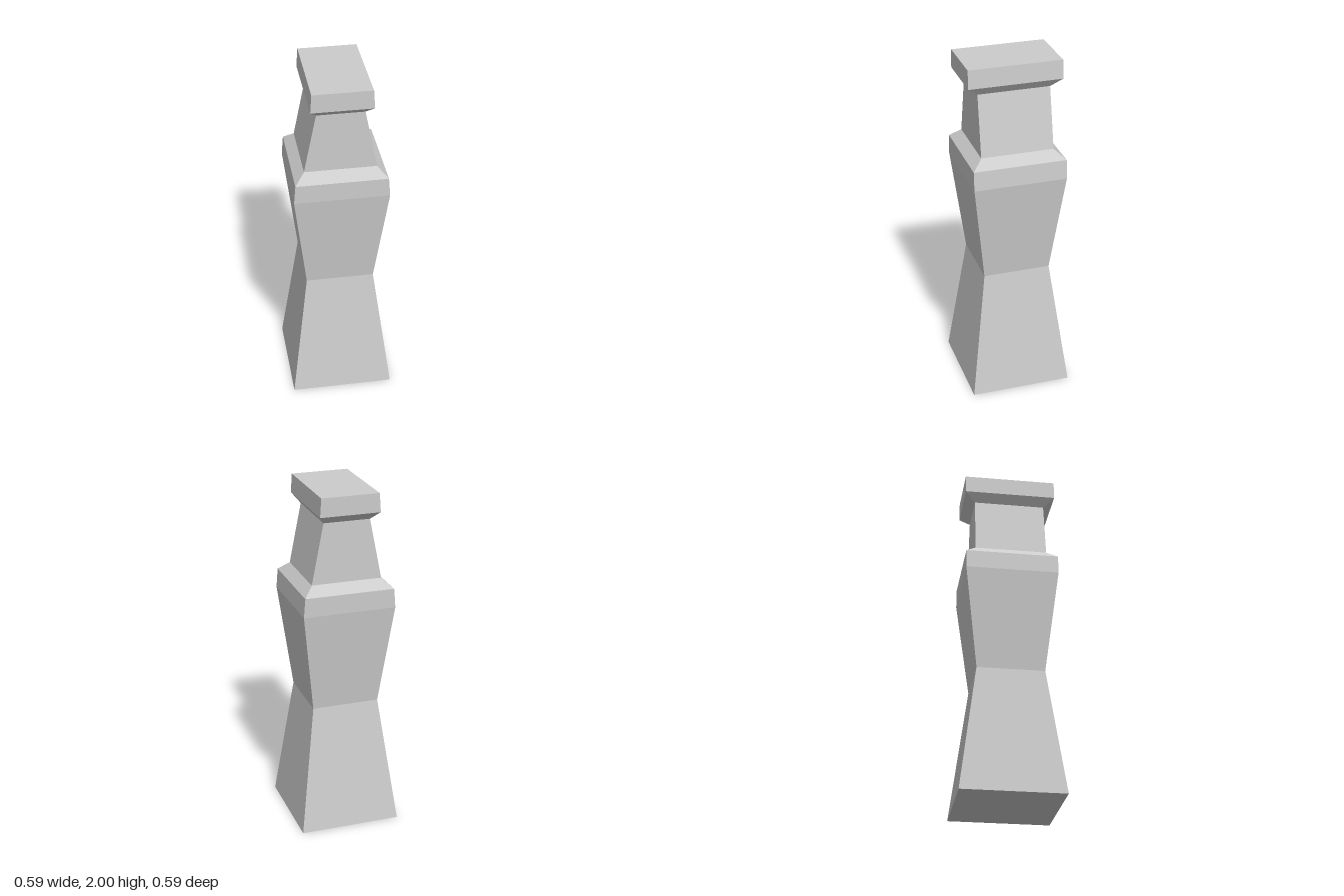
import * as THREE from 'three';

const material = new THREE.MeshStandardMaterial({ color: 0xcccccc, flatShading: true });

// Stack of rectangular sections [y, half width, half depth], closed at both ends
function taperedBlock(name, sections) {
  const steps = sections.length - 1;
  const box = new THREE.BoxGeometry(2, steps, 2, 1, steps, 1);
  const pos = box.attributes.position;
  for (let i = 0; i < pos.count; i++) {
    const [y, halfX, halfZ] = sections[Math.round(pos.getY(i) + steps / 2)];
    pos.setXYZ(i, pos.getX(i) * halfX, y, pos.getZ(i) * halfZ);
  }
  const geometry = box.toNonIndexed();
  geometry.computeVertexNormals();
  const mesh = new THREE.Mesh(geometry, material);
  mesh.name = name;
  return mesh;
}

export function createModel() {
  const model = new THREE.Group();
  model.name = 'waistedPost';
  model.add(
    // Flared foot, narrow waist and bevelled shoulder
    taperedBlock('body', [
      [0, 0.293, 0.293],
      [0.745, 0.194, 0.194],
      [1.335, 0.267, 0.267],
      [1.445, 0.258, 0.267],
      [1.497, 0.202, 0.208],
    ]),
    // Neck tapering only in width
    taperedBlock('neck', [
      [1.497, 0.202, 0.208],
      [1.843, 0.133, 0.206],
    ]),
    // Overhanging cap with a sloped underside
    taperedBlock('cap', [
      [1.843, 0.133, 0.206],
      [1.893, 0.172, 0.267],
      [2, 0.165, 0.267],
    ]),
  );
  return model;
}
